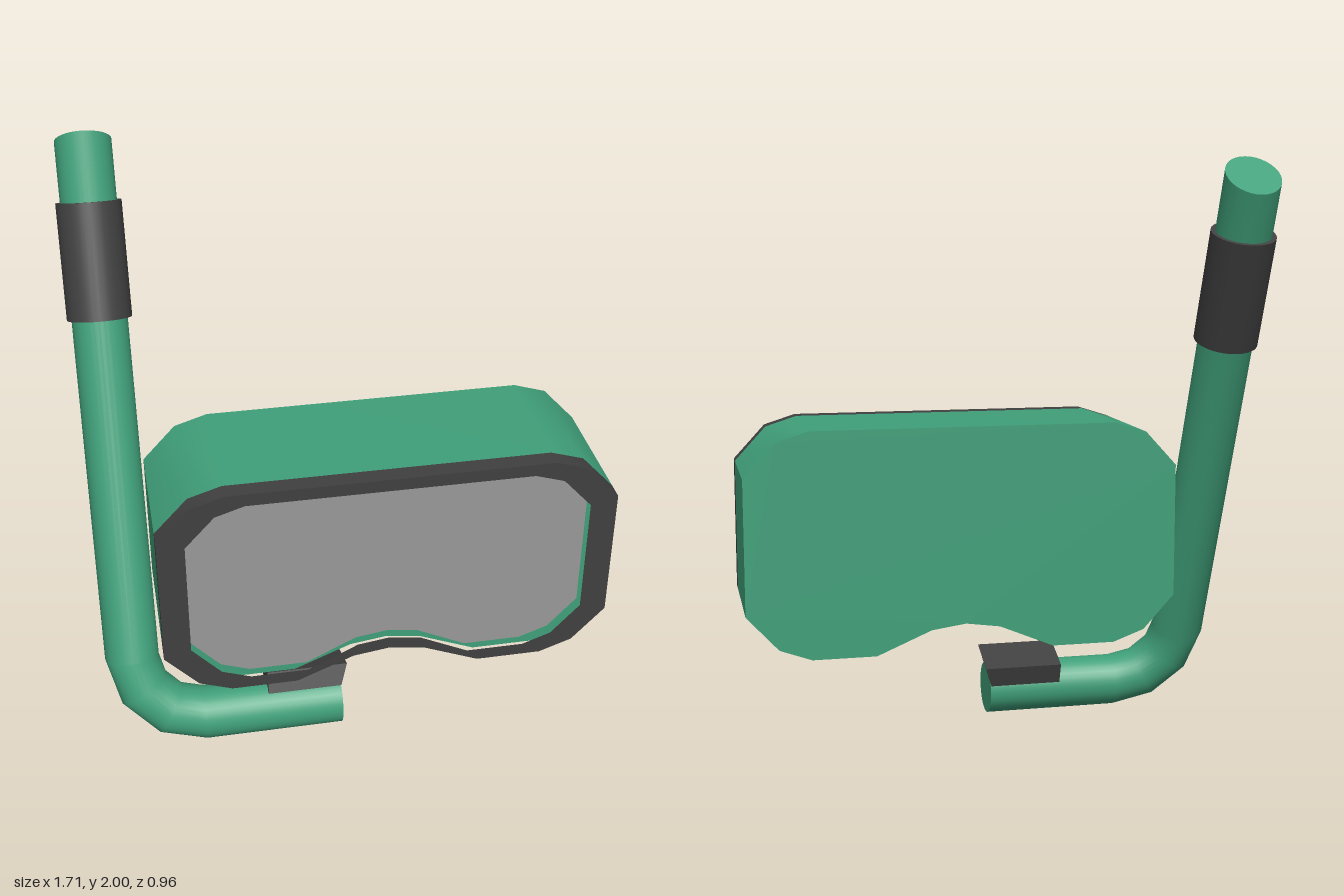
import * as THREE from 'three';
import { toCreasedNormals } from 'three/addons/utils/BufferGeometryUtils.js';

const green = new THREE.MeshStandardMaterial({ color: 0x40a07a });
const dark = new THREE.MeshStandardMaterial({ color: 0x404040 });
const glass = new THREE.MeshStandardMaterial({ color: 0x999999 });

function addMesh(parent, name, geometry, material) {
  const mesh = new THREE.Mesh(geometry, material);
  mesh.name = name;
  parent.add(mesh);
  return mesh;
}

// Right half of the mask outline, from top to nose, relative to its centre
const HALF = [[0.53, 0.39], [0.64, 0.355], [0.75, 0.235], [0.75, -0.23],
  [0.64, -0.35], [0.53, -0.39], [0.31, -0.39], [0.12, -0.31]];
const NOSE = [0, -0.293];

function maskOutline(sx = 1, sy = 1, noseLift = 0) {
  const left = HALF.map(([x, y]) => [-x, y]).reverse();
  return [...HALF, NOSE, ...left].map(([x, y]) =>
    new THREE.Vector2(x * sx, y * sy + (Math.abs(x) < 0.2 ? noseLift : 0)));
}

function slab(shape, z0, z1) {
  const g = new THREE.ExtrudeGeometry(shape, { depth: z1 - z0, bevelEnabled: false });
  g.translate(0, 0, z0);
  return toCreasedNormals(g, 0.6);
}

function createMask() {
  const mask = new THREE.Group();
  mask.name = 'mask';
  mask.position.set(0.1, 0.72, 0);
  const inner = maskOutline(0.88, 0.89, 0.012);
  addMesh(mask, 'maskBody', slab(new THREE.Shape(maskOutline()), -0.008, 0.42), green);
  const ring = new THREE.Shape(maskOutline());
  ring.holes.push(new THREE.Path(inner));
  addMesh(mask, 'lensFrame', slab(ring, 0.42, 0.48), dark);
  addMesh(mask, 'lens', slab(new THREE.Shape(inner), 0.421, 0.442), glass);
  return mask;
}

// Bent tube in the xy plane: rings along the path, slanted top, closed ends
function tubeGeometry(radius, sides) {
  const bendX = -0.517, bendY = 0.23, bend = 0.233;
  const rings = [{ x: -0.75, y: 1.98, a: 0, slant: 0.333 }];
  for (let i = 0; i <= 3; i++) {
    const a = (i / 3) * Math.PI / 2;
    rings.push({ x: bendX - bend * Math.cos(a), y: bendY - bend * Math.sin(a), a, slant: 0 });
  }
  rings.push({ x: -0.04, y: bendY - bend, a: Math.PI / 2, slant: 0 });

  const pos = [], index = [];
  const addRing = (r) => {
    for (let j = 0; j < sides; j++) {
      const t = (j / sides) * Math.PI * 2;
      const out = radius * Math.cos(t), z = radius * Math.sin(t);
      pos.push(r.x - out * Math.cos(r.a), r.y - out * Math.sin(r.a) + r.slant * z, z);
    }
  };
  rings.forEach(addRing);
  for (let i = 0; i < rings.length - 1; i++) {
    for (let j = 0; j < sides; j++) {
      const k = (j + 1) % sides;
      const a = i * sides + j, b = i * sides + k;
      index.push(a, a + sides, b, b, a + sides, b + sides);
    }
  }
  // End caps
  const last = (rings.length - 1) * sides;
  for (let j = 1; j < sides - 1; j++) {
    index.push(0, j, j + 1, last, last + j + 1, last + j);
  }
  // Orient every face outward: check the sign of the enclosed volume
  let volume = 0;
  const p = (i) => new THREE.Vector3().fromArray(pos, i * 3);
  for (let i = 0; i < index.length; i += 3) {
    volume += p(index[i]).dot(p(index[i + 1]).cross(p(index[i + 2])));
  }
  if (volume < 0) index.reverse();
  const g = new THREE.BufferGeometry();
  g.setAttribute('position', new THREE.Float32BufferAttribute(pos, 3));
  g.setIndex(index);
  return toCreasedNormals(g, 0.7);
}

function createSnorkel() {
  const snorkel = new THREE.Group();
  snorkel.name = 'snorkel';
  snorkel.position.set(0, 0.097, 0.317);
  snorkel.rotation.x = -THREE.MathUtils.degToRad(21.5);
  addMesh(snorkel, 'snorkelTube', tubeGeometry(0.092, 32), green);

  // Grip sleeve around the upper tube
  const sleeve = addMesh(snorkel, 'sleeve', new THREE.CylinderGeometry(0.107, 0.107, 0.382, 32), dark);
  sleeve.position.set(-0.75, 1.594, 0);

  // Bite tab: a block whose free end overhangs the tube and whose base narrows
  const tab = new THREE.BoxGeometry(0.28, 0.075, 0.15);
  const v = tab.attributes.position;
  for (let i = 0; i < v.count; i++) {
    if (v.getY(i) < 0) {
      if (v.getX(i) > 0) v.setX(i, 0.115);
      v.setZ(i, v.getZ(i) * 1.08);
    }
  }
  tab.computeVertexNormals();
  addMesh(snorkel, 'biteTab', tab, dark).position.set(-0.155, 0.1, 0);
  return snorkel;
}

export function createModel() {
  const model = new THREE.Group();
  model.name = 'divingSet';
  model.add(createMask(), createSnorkel());
  return model;
}
